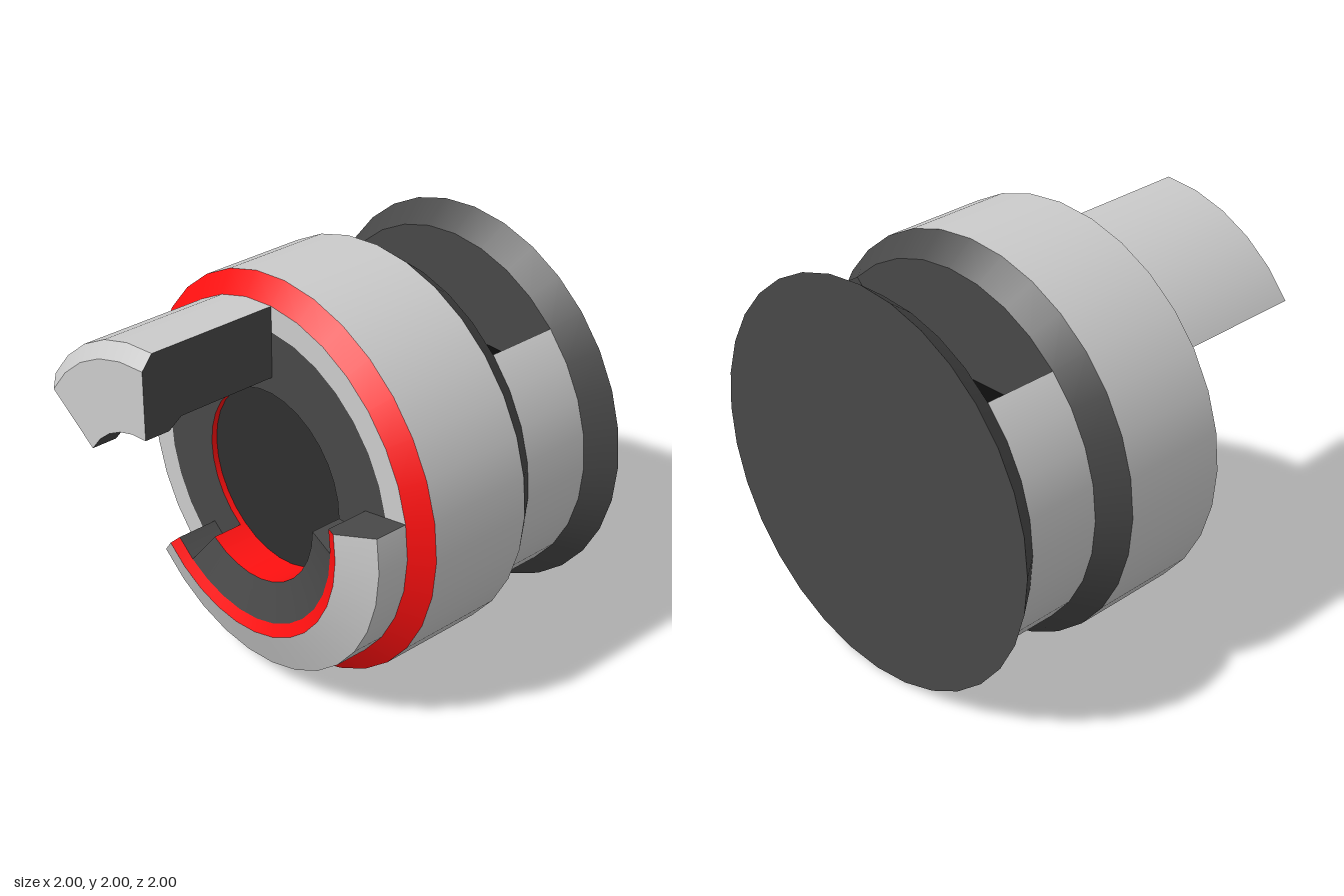
import * as THREE from 'three';

const mat = (color, side = THREE.FrontSide) => new THREE.MeshStandardMaterial({ color, side });
const light = mat(0xcccccc);
const dark = mat(0x484848);
const red = mat(0xff1010);
const core = mat(0x2f2f2f);
const black = mat(0x0c0c0c);
const darkCap = mat(0x484848, THREE.DoubleSide);
const STEP = Math.PI / 16; // 32 sides per full turn

// Sweeps a profile of [radius, z, material of the strip to the next point] around the z axis,
// from step s0 to step s1 (counter-clockwise from +x). Partial sweeps get flat end caps.
function sweep(name, profile, s0 = 0, s1 = 32) {
  const group = new THREE.Group();
  group.name = name;
  const partial = s1 - s0 < 32;
  profile.forEach(([r, z, material], i) => {
    if (!material) return;
    const [r2, z2] = profile[(i + 1) % profile.length];
    const strip = new THREE.LatheGeometry(
      [new THREE.Vector2(r, z), new THREE.Vector2(r2, z2)],
      s1 - s0, s0 * STEP + Math.PI / 2, (s1 - s0) * STEP);
    strip.rotateX(Math.PI / 2);
    const mesh = new THREE.Mesh(strip, material);
    mesh.name = name + 'Strip';
    group.add(mesh);
  });
  if (partial) {
    const shape = new THREE.Shape(profile.map(([r, z]) => new THREE.Vector2(r, z)));
    for (const s of [s0, s1]) {
      const c = Math.cos(s * STEP), n = Math.sin(s * STEP);
      const cap = new THREE.ShapeGeometry(shape);
      cap.applyMatrix4(new THREE.Matrix4().makeBasis(
        new THREE.Vector3(c, n, 0), new THREE.Vector3(0, 0, 1), new THREE.Vector3(n, -c, 0)));
      const mesh = new THREE.Mesh(cap, darkCap);
      mesh.name = name + 'End';
      group.add(mesh);
    }
  }
  return group;
}

export function createModel() {
  const model = new THREE.Group();
  model.name = 'couplingPlug';

  // Main drum: dark back, smooth side, red front chamfer, shallow bore
  model.add(sweep('drum', [
    [0, -0.49, dark], [0.9, -0.49, dark], [1, -0.36, light], [1, 0.2, red],
    [0.9, 0.28, light], [0.77, 0.28, dark], [0.455, 0.28, red],
    [0.455, 0.25, core], [0, 0.25, null],
  ]));

  // Flared rear flange
  model.add(sweep('rearFlange', [
    [0, -1, dark], [1, -1, dark], [0.9, -0.87, dark], [0, -0.87, null],
  ]));

  // Neck: two curved side walls around a square core
  const wall = [[0.566, -0.87, null], [0.9, -0.87, light], [0.9, -0.49, null], [0.566, -0.49, dark]];
  model.add(sweep('neckWallLeft', wall, -4, 4));
  model.add(sweep('neckWallRight', wall, 12, 20));
  const neckCore = new THREE.Mesh(new THREE.BoxGeometry(0.8, 0.8, 0.38), black);
  neckCore.name = 'neckCore';
  neckCore.position.z = -0.68;
  model.add(neckCore);

  // Long upper tooth with a small inner lip at its tip
  model.add(sweep('upperTooth', [
    [0.54, 0.28, null], [0.9, 0.28, light], [0.9, 0.945, light], [0.83, 1, light],
    [0.49, 1, dark], [0.49, 0.87, red], [0.54, 0.8, dark],
  ], 8, 13));

  // Short lower tooth with a red inner edge
  model.add(sweep('lowerTooth', [
    [0.64, 0.28, null], [0.9, 0.28, light], [0.9, 0.45, light], [0.7, 0.525, red],
    [0.64, 0.5, dark],
  ], -12, 1));

  // Sloped seat inside the lower tooth
  model.add(sweep('lowerToothSeat', [
    [0.455, 0.28, null], [0.64, 0.28, null], [0.64, 0.5, dark], [0.455, 0.44, red],
  ], -11, 0));

  model.position.y = 1;
  const root = new THREE.Group();
  root.name = 'model';
  root.add(model);
  return root;
}
